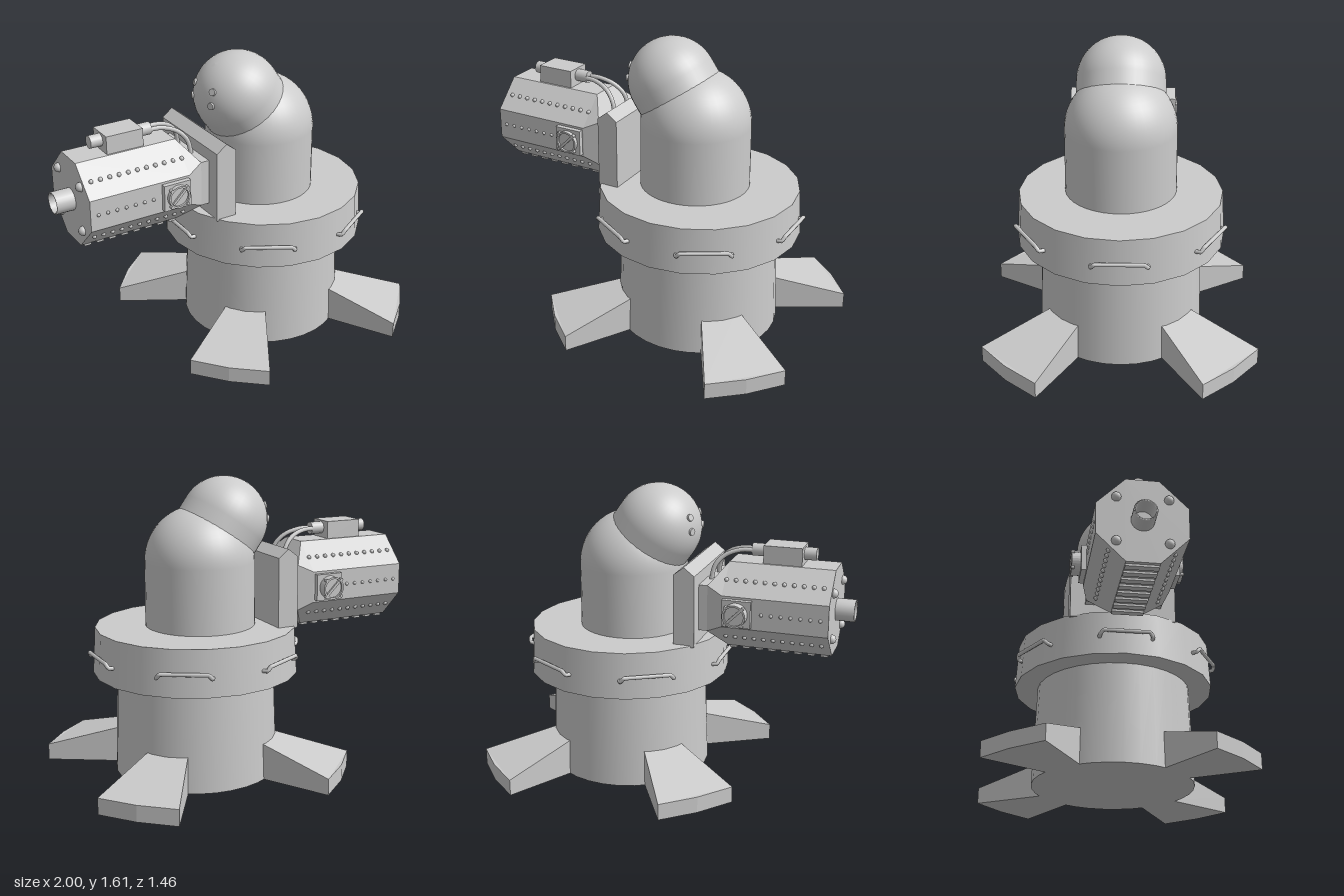
import * as THREE from 'three';

const mat = new THREE.MeshStandardMaterial({ color: 0xcccccc });
const flat = new THREE.MeshStandardMaterial({ color: 0xcccccc, flatShading: true });
const thin = new THREE.MeshStandardMaterial({ color: 0xcccccc, side: THREE.DoubleSide });

function add(parent, name, geo, x = 0, y = 0, z = 0, material = mat) {
  const m = new THREE.Mesh(geo, material);
  m.name = name;
  m.position.set(x, y, z);
  parent.add(m);
  return m;
}
const box = (w, h, d) => new THREE.BoxGeometry(w, h, d);
const rodX = (r, len, seg = 20) => new THREE.CylinderGeometry(r, r, len, seg).rotateZ(Math.PI / 2);
const rodZ = (r, len, seg = 24) => new THREE.CylinderGeometry(r, r, len, seg).rotateX(Math.PI / 2);

// Flat-sided solid through rings of points, each ring counter-clockwise about the loft direction
function loft(rings) {
  const pos = [], n = rings[0].length;
  const tri = (...ps) => ps.forEach(p => pos.push(...p));
  for (let k = 0; k + 1 < rings.length; k++)
    for (let i = 0; i < n; i++) {
      const j = (i + 1) % n, a = rings[k], b = rings[k + 1];
      tri(a[i], a[j], b[j]);
      tri(a[i], b[j], b[i]);
    }
  const first = rings[0], last = rings[rings.length - 1];
  for (let i = 1; i + 1 < n; i++) {
    tri(first[0], first[i + 1], first[i]);
    tri(last[0], last[i], last[i + 1]);
  }
  const g = new THREE.BufferGeometry();
  g.setAttribute('position', new THREE.Float32BufferAttribute(pos, 3));
  g.computeVertexNormals();
  return g;
}

// Pedestal with splayed feet, collar and grab handles
function makeBase() {
  const base = new THREE.Group();
  base.name = 'base';
  add(base, 'pedestal', new THREE.CylinderGeometry(0.43, 0.45, 0.57, 32), 0, 0.285, 0);
  add(base, 'collar', new THREE.CylinderGeometry(0.545, 0.56, 0.25, 20), 0, 0.685, 0);

  const wedge = [[0.845, -15, 0.09], [0.835, 0, 0.09], [0.845, 15, 0.09], [0.4, 15, 0.211], [0.4, -15, 0.211]];
  const ring = top => wedge.map(([r, deg, y]) => {
    const a = THREE.MathUtils.degToRad(deg);
    return [r * Math.sin(a), top ? y : 0, r * Math.cos(a)];
  });
  const footGeo = loft([ring(false), ring(true)]);
  for (let i = 0; i < 4; i++)
    add(base, 'foot', footGeo, 0, 0, 0, flat).rotation.y = Math.PI / 4 + i * Math.PI / 2;

  const path = new THREE.CurvePath();
  const pts = [[-0.142, 0.66, 0.525], [-0.142, 0.664, 0.556], [-0.125, 0.686, 0.566],
    [0.125, 0.686, 0.566], [0.142, 0.664, 0.556], [0.142, 0.66, 0.525]].map(p => new THREE.Vector3(...p));
  for (let i = 0; i + 1 < pts.length; i++) path.add(new THREE.LineCurve3(pts[i], pts[i + 1]));
  const handleGeo = new THREE.TubeGeometry(path, 48, 0.011, 8);
  for (let i = 0; i < 6; i++)
    add(base, 'handle', handleGeo).rotation.y = Math.PI / 2 + i * Math.PI / 3;
  return base;
}

// Domed neck with a tilted round head
function makeTurret() {
  const turret = new THREE.Group();
  turret.name = 'turret';
  const profile = [new THREE.Vector2(0.3, 0.8)];
  for (let i = 0; i <= 14; i++) {
    const a = i / 14 * Math.PI / 2;
    profile.push(new THREE.Vector2(0.298 * Math.cos(a), 1.16 + 0.298 * Math.sin(a)));
  }
  add(turret, 'neck', new THREE.LatheGeometry(profile, 40), 0.24, 0, 0);

  const head = new THREE.Group();
  head.name = 'head';
  head.position.set(0.095, 1.37, 0);
  turret.add(head);
  const cap = [new THREE.Vector2(0.238, -0.2)];
  for (let i = 0; i <= 14; i++) {
    const a = i / 14 * Math.PI / 2;
    cap.push(new THREE.Vector2(0.238 * Math.cos(a), 0.238 * Math.sin(a)));
  }
  add(head, 'headShell', new THREE.LatheGeometry(cap, 40)).rotation.z = 0.62;
  // Two pairs of small lenses
  for (const s of [-1, 1])
    for (const dy of [0.005, 0.08]) {
      const dir = new THREE.Vector3(-0.21, dy, s * 0.09).normalize();
      const lens = add(head, 'lens', new THREE.CylinderGeometry(0.019, 0.021, 0.02, 14));
      lens.position.copy(dir).multiplyScalar(0.237);
      lens.quaternion.setFromUnitVectors(new THREE.Vector3(0, 1, 0), dir);
    }
  return turret;
}

// Round valve on a square block, facing +z
function makeValve(name, depth) {
  const v = new THREE.Group();
  v.name = name;
  add(v, 'valveBlock', box(0.155, 0.145, 0.06), 0, 0, -0.01);
  const shape = new THREE.Shape().absarc(0, 0, 0.062, 0, Math.PI * 2);
  shape.holes.push(new THREE.Path().absarc(0, 0, 0.052, 0, Math.PI * 2, true));
  add(v, 'valveRim', new THREE.ExtrudeGeometry(shape, { depth, bevelEnabled: false, curveSegments: 14 }));
  add(v, 'valveDisc', rodZ(0.053, 0.02), 0, 0, depth - 0.022);
  add(v, 'valveBar', box(0.1, 0.014, 0.012), 0, 0, depth - 0.008).rotation.z = Math.PI / 4;
  for (const x of [-1, 1])
    for (const y of [-1, 1]) add(v, 'valveBolt', rodZ(0.009, 0.02, 8), x * 0.046, y * 0.046, depth - 0.006);
  return v;
}

// Eight-sided side gun on its mounting plate, axis along x
function makeGun() {
  const gun = new THREE.Group();
  gun.name = 'gun';
  gun.position.set(0, 1, -0.008);

  const plate = new THREE.Shape([[-0.203, -0.2], [-0.087, -0.2], [-0.087, 0.19], [-0.145, 0.235], [-0.203, 0.19]]
    .map(p => new THREE.Vector2(...p)));
  add(gun, 'mountPlate', new THREE.ExtrudeGeometry(plate, { depth: 0.576, bevelEnabled: false }), 0, 0, -0.288);

  // Octagon narrowing to a rectangular rear
  const R = 0.233, H = 0.085;
  const oct = [[R, -H], [R, H], [H, R], [-H, R], [-R, H], [-R, -H], [-H, -R], [H, -R]];
  const octAt = x => oct.map(([y, z]) => [x, y, z]);
  const rectAt = x => oct.map(([y, z]) => [x, Math.sign(y) * 0.125, Math.sign(z) * 0.207]);
  add(gun, 'gunBody', loft([octAt(-0.9), octAt(-0.335), rectAt(-0.25), rectAt(-0.195)]), 0, 0, 0, flat);

  // Open muzzle
  const muzzle = [[0.05, -0.02], [0.05, 0.11], [0.06, 0.11], [0.06, -0.02]].map(p => new THREE.Vector2(...p));
  add(gun, 'muzzle', new THREE.LatheGeometry(muzzle.reverse(), 24), -0.89, 0, 0, thin).rotation.z = Math.PI / 2;
  for (const y of [-1, 1])
    for (const z of [-1, 1])
      add(gun, 'faceBolt', new THREE.SphereGeometry(0.025, 14, 10), -0.902, y * 0.124, z * 0.132);

  // Rivet rows along the side and slanted faces
  const rivetGeo = new THREE.SphereGeometry(0.012, 8, 6);
  for (const s of [-1, 1])
    for (let i = 0; i < 11; i++) {
      const x = -0.857 + i * 0.0515;
      for (const y of [-0.155, 0.155]) add(gun, 'rivet', rivetGeo, x, y, s * 0.165);
      if (i < 7) add(gun, 'sideRivet', rivetGeo, x, 0, s * R).scale.setScalar(0.8);
    }
  // Slats under the body
  for (let i = 0; i < 8; i++) add(gun, 'slat', box(0.038, 0.024, 0.17), -0.86 + i * 0.071, -R, 0);

  const front = makeValve('frontValve', 0.042);
  front.position.set(-0.42, 0, 0.24);
  const back = makeValve('backValve', 0.068);
  back.position.set(-0.42, 0, -0.24);
  back.rotation.y = Math.PI;
  gun.add(front, back);

  // Top unit and its cables
  add(gun, 'topUnit', box(0.207, 0.1, 0.15), -0.617, 0.28, 0);
  add(gun, 'topRod', rodX(0.034, 0.345), -0.6125, 0.288, 0);
  for (const s of [-1, 1]) {
    const curve = new THREE.CatmullRomCurve3([[-0.46, 0.288, 0.02], [-0.38, 0.285, 0.028], [-0.3, 0.255, 0.045],
      [-0.25, 0.2, 0.063], [-0.23, 0.11, 0.073]].map(([x, y, z]) => new THREE.Vector3(x, y, s * z)));
    add(gun, 'cable', new THREE.TubeGeometry(curve, 28, 0.0125, 10));
  }
  return gun;
}

export function createModel() {
  const model = new THREE.Group();
  model.name = 'turretModel';
  const base = makeBase();
  base.position.x = 0.27;
  model.add(base, makeTurret(), makeGun());
  return model;
}
